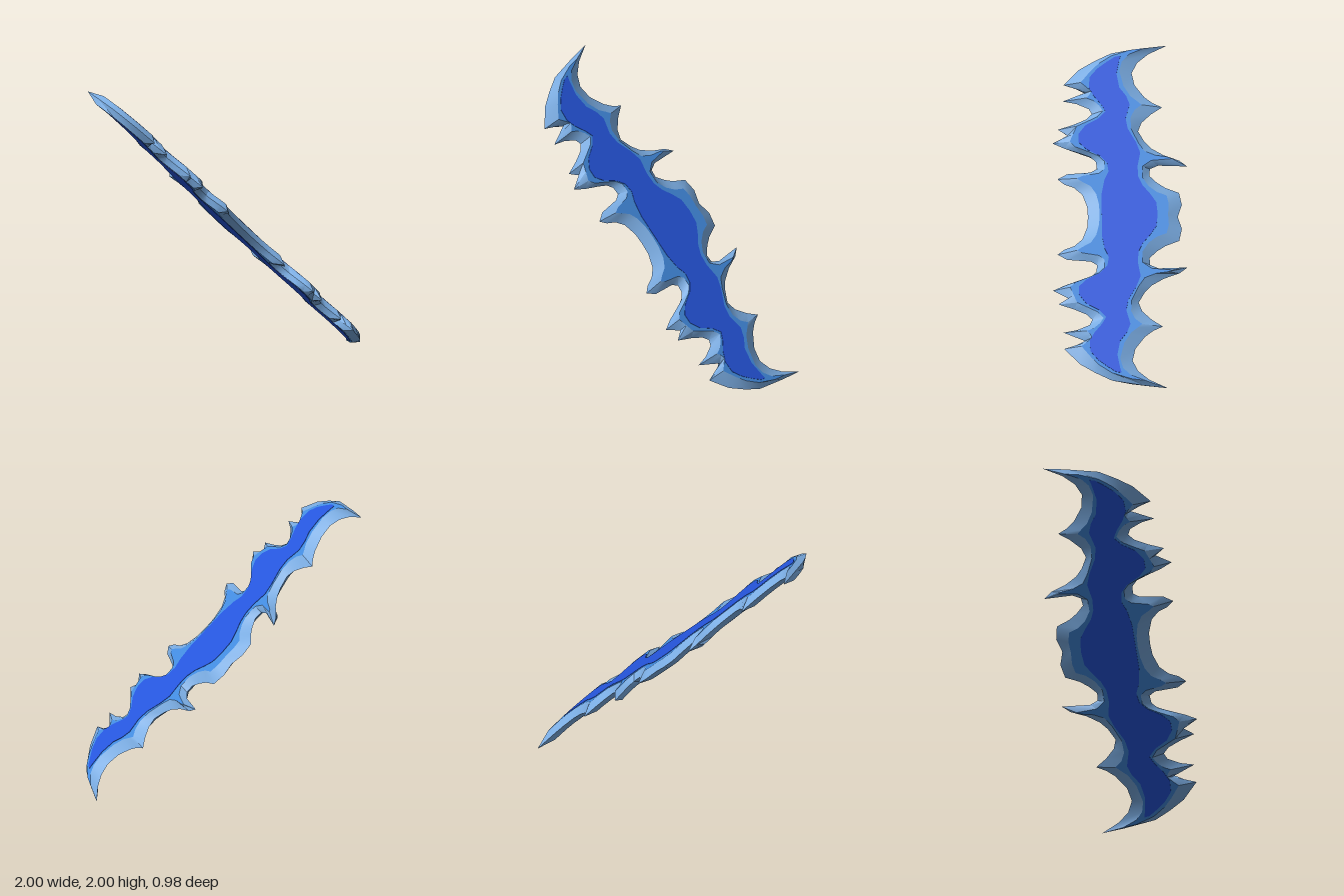
import * as THREE from 'three';
import { toCreasedNormals } from 'three/addons/utils/BufferGeometryUtils.js';

const HALF = 0.041; // half the blade thickness
const LEN = Math.SQRT2; // the blade lies along a 45 degree diagonal

// Right half of the rear edge: [rim x, rim z, face x, face z]
const REAR = [
  [0, -0.42, 0, -0.35], [0.07, -0.45, 0.06, -0.355], [0.14, -0.43, 0.11, -0.34],
  [0.17, -0.33, 0.13, -0.27], [0.2, -0.27, 0.165, -0.21], [0.24, -0.215, 0.215, -0.165],
  [0.28, -0.22, 0.28, -0.165], [0.3, -0.28, 0.315, -0.23], [0.295, -0.49, 0.325, -0.38],
  [0.33, -0.43, 0.335, -0.35], [0.36, -0.32, 0.345, -0.26], [0.4, -0.23, 0.37, -0.18],
  [0.44, -0.18, 0.42, -0.135], [0.5, -0.135, 0.5, -0.085], [0.55, -0.16, 0.565, -0.08],
  [0.6, -0.23, 0.61, -0.11], [0.64, -0.31, 0.64, -0.16], [0.665, -0.24, 0.66, -0.13],
  [0.7, -0.18, 0.69, -0.08], [0.77, -0.11, 0.75, -0.03], [0.84, -0.09, 0.84, 0],
  [0.9, -0.13, 0.895, -0.02], [0.95, -0.21, 0.935, -0.07], [1, -0.345, 0.97, -0.18],
];

// Right half of the front edge, from the end tip back to the middle
const FRONT = [
  [0.985, -0.18, 0.96, -0.08], [0.955, 0.06, 0.925, 0.06], [0.91, 0.18, 0.88, 0.15],
  [0.86, 0.29, 0.835, 0.21], [0.77, 0.405, 0.77, 0.28], [0.75, 0.32, 0.745, 0.24],
  [0.73, 0.235, 0.72, 0.205], [0.7, 0.33, 0.7, 0.215], [0.675, 0.41, 0.68, 0.24],
  [0.66, 0.31, 0.665, 0.19], [0.63, 0.22, 0.635, 0.145], [0.6, 0.2, 0.605, 0.12],
  [0.57, 0.24, 0.57, 0.16], [0.54, 0.33, 0.54, 0.24], [0.51, 0.445, 0.515, 0.31],
  [0.475, 0.375, 0.47, 0.335], [0.43, 0.485, 0.425, 0.36], [0.4, 0.4, 0.395, 0.32],
  [0.37, 0.28, 0.365, 0.22], [0.35, 0.21, 0.34, 0.15], [0.32, 0.17, 0.31, 0.11],
  [0.28, 0.165, 0.265, 0.11], [0.26, 0.21, 0.24, 0.15], [0.25, 0.38, 0.225, 0.27],
  [0.22, 0.45, 0.21, 0.31], [0.19, 0.4, 0.19, 0.27], [0.17, 0.33, 0.165, 0.21],
  [0.13, 0.27, 0.12, 0.17], [0.06, 0.235, 0.06, 0.15], [0, 0.23, 0, 0.145],
];

// Right half of the dark centre inlay: [x, z]
const CORE = [
  [0, -0.275], [0.07, -0.265], [0.12, -0.22], [0.17, -0.165], [0.22, -0.135], [0.28, -0.13],
  [0.36, -0.15], [0.42, -0.12], [0.5, -0.06], [0.56, -0.045], [0.64, -0.075], [0.69, -0.05],
  [0.74, 0], [0.82, 0.02], [0.9, 0], [0.925, -0.01], [0.92, 0.03], [0.89, 0.09], [0.85, 0.16],
  [0.8, 0.215], [0.74, 0.22], [0.69, 0.185], [0.64, 0.13], [0.6, 0.1], [0.56, 0.15],
  [0.52, 0.245], [0.47, 0.295], [0.42, 0.295], [0.38, 0.24], [0.34, 0.14], [0.3, 0.09],
  [0.25, 0.08], [0.2, 0.11], [0.12, 0.13], [0, 0.13],
];

// Close a right half outline by mirroring it, and stretch it along the diagonal
function mirrored(half) {
  const left = half.slice(1, -1).reverse().map(([x, z]) => [-x, z]);
  return [...half, ...left].map(([x, z]) => [x * LEN, z]);
}

function toShape(ring) {
  return new THREE.Shape(ring.map(([x, z]) => new THREE.Vector2(x, -z)));
}

// Sloping strip from the rim at mid thickness up to the flat face
function bevelGeometry(rim, face) {
  const pos = [];
  const n = rim.length;
  for (let i = 0; i < n; i++) {
    const j = (i + 1) % n;
    const a = [rim[i][0], 0, rim[i][1]];
    const b = [rim[j][0], 0, rim[j][1]];
    const c = [face[j][0], HALF, face[j][1]];
    const d = [face[i][0], HALF, face[i][1]];
    pos.push(...a, ...c, ...b, ...a, ...d, ...c);
  }
  const geo = new THREE.BufferGeometry();
  geo.setAttribute('position', new THREE.Float32BufferAttribute(pos, 3));
  return toCreasedNormals(geo, 0.6);
}

export function createModel() {
  const material = (name, color) => {
    const m = new THREE.MeshStandardMaterial({ color });
    m.name = name;
    return m;
  };
  const paleBlue = material('pale blue', 0x7aacE2);
  const midBlue = material('mid blue', 0x428ade);
  const deepBlue = material('deep blue', 0x2555dc);

  const edge = [...REAR, ...FRONT];
  const rim = mirrored(edge.map(([x, z]) => [x, z]));
  const face = mirrored(edge.map(([, , x, z]) => [x, z]));

  const bevelGeo = bevelGeometry(rim, face);
  const faceGeo = new THREE.ShapeGeometry(toShape(face));
  faceGeo.rotateX(-Math.PI / 2).translate(0, HALF, 0);
  const coreGeo = new THREE.ExtrudeGeometry(toShape(mirrored(CORE)), { depth: 0.003, bevelEnabled: false });
  coreGeo.rotateX(-Math.PI / 2).translate(0, HALF, 0);

  const blade = new THREE.Group();
  blade.name = 'blade';

  // Both sides are alike: half a turn about the width gives the underside
  for (const side of ['upper', 'lower']) {
    const half = new THREE.Group();
    half.name = side + 'Side';
    const add = (name, geo, mat) => {
      const mesh = new THREE.Mesh(geo, mat);
      mesh.name = name;
      half.add(mesh);
    };
    add(side + 'CuttingEdge', bevelGeo, paleBlue);
    add(side + 'Face', faceGeo, midBlue);
    add(side + 'Inlay', coreGeo, deepBlue);
    if (side === 'lower') half.rotation.z = Math.PI;
    blade.add(half);
  }

  // Lean the blade on its diagonal
  blade.rotation.z = -Math.PI / 4;
  blade.position.y = 1;

  const model = new THREE.Group();
  model.name = 'spikedBlade';
  model.add(blade);
  return model;
}
